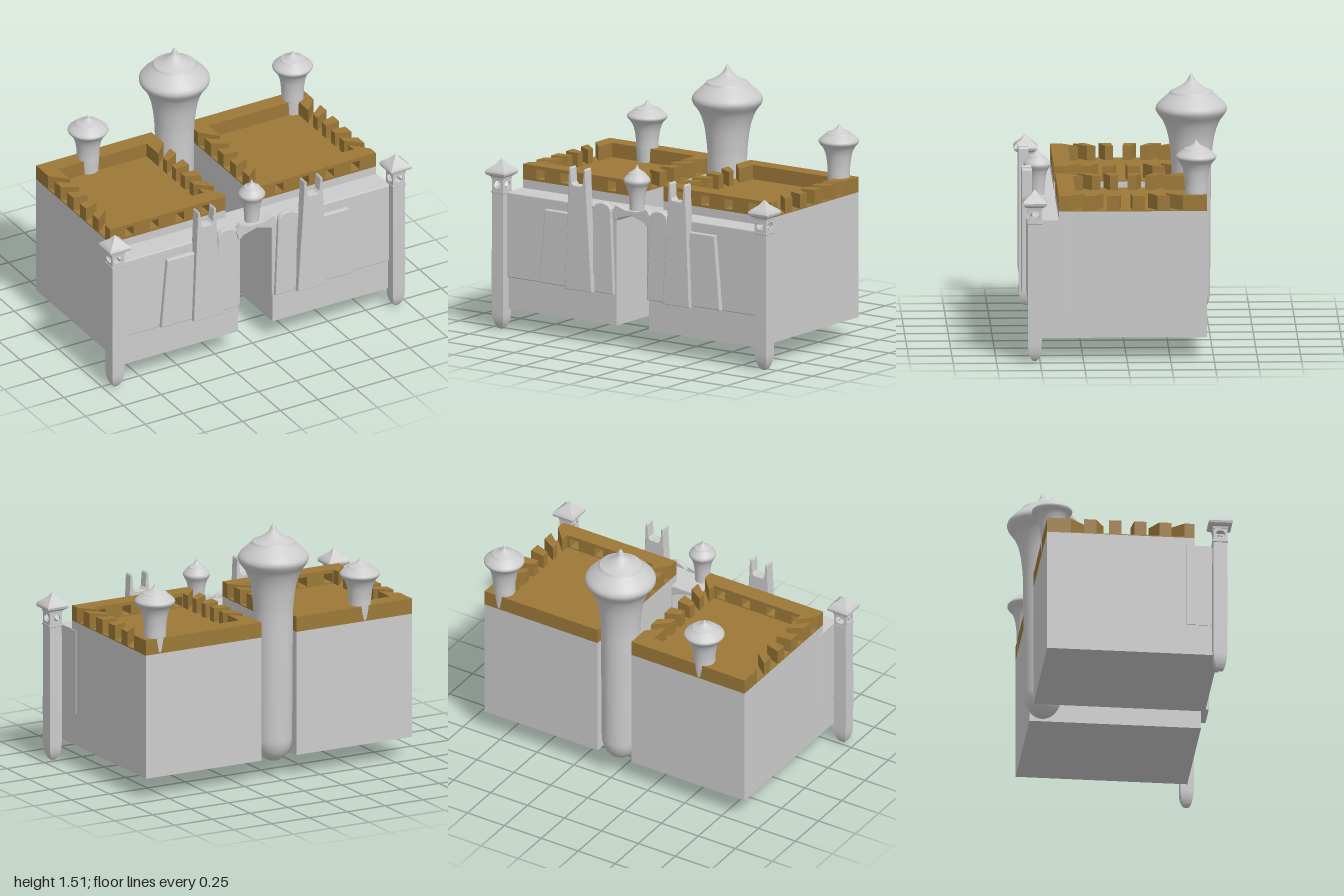
import * as THREE from 'three';
import { toCreasedNormals } from 'three/addons/utils/BufferGeometryUtils.js';

const stone = new THREE.MeshStandardMaterial({ color: 0xcccccc });
const brown = new THREE.MeshStandardMaterial({ color: 0x9c7838 });

function add(parent, name, geometry, material = stone) {
  const mesh = new THREE.Mesh(geometry, material);
  mesh.name = name;
  parent.add(mesh);
  return mesh;
}

const vec = (pts) => pts.map(([x, y]) => new THREE.Vector2(x, y));
const outline = (pts) => new THREE.Shape(vec(pts));

// Box given by its min and max along each axis
function box(x0, x1, y0, y1, z0, z1) {
  return new THREE.BoxGeometry(x1 - x0, y1 - y0, z1 - z0)
    .translate((x0 + x1) / 2, (y0 + y1) / 2, (z0 + z1) / 2);
}

// Upright plate: shape in x/y, from z0 to z1, with a small bevel
function plate(shape, z0, z1, bevel = 0) {
  return new THREE.ExtrudeGeometry(shape, {
    depth: z1 - z0 - bevel, bevelEnabled: bevel > 0, bevelSize: bevel, bevelOffset: -bevel,
    bevelThickness: bevel, bevelSegments: 2, curveSegments: 16,
  }).translate(0, 0, z0);
}

// Flat polygon in x/z raised from y0 to y1
function slab(pts, y0, y1) {
  const shape = outline(pts.map(([x, z]) => [x, -z]));
  return new THREE.ExtrudeGeometry(shape, { depth: y1 - y0, bevelEnabled: false })
    .rotateX(-Math.PI / 2).translate(0, y0, 0);
}

// Onion dome on a flared neck; widest radius r at height mid, tip at height tip
function onionProfile(r, mid, tip) {
  const lower = [[0.55, -2], [0.56, -1.5], [0.61, -1], [0.68, -0.65], [0.8, -0.34], [0.95, -0.13],
    [1, 0], [0.95, 0.13], [0.78, 0.3], [0.61, 0.45]];
  const upper = [[0.6, 0.49], [0.48, 0.54], [0.3, 0.64], [0.13, 0.78], [0.06, 0.92], [0, 1]];
  const scaled = (pts) => vec(pts.map(([x, y]) => [x * r, mid + y * (tip - mid)]));
  return [...new THREE.SplineCurve(scaled(lower)).getPoints(36),
    ...new THREE.SplineCurve(scaled(upper)).getPoints(18)]
    .map((p) => new THREE.Vector2(Math.max(p.x, 0), p.y));
}

function turret(parent, name, x, z, r, mid, tip, base) {
  const geometry = new THREE.LatheGeometry([...vec(base), ...onionProfile(r, mid, tip)], 40);
  add(parent, name, geometry).position.set(x, 0, z);
}

// Rounded foot profile from the axis at y0 out to radius r
function footProfile(r, y0, height) {
  return Array.from({ length: 13 }, (_, i) => {
    const a = (i / 12) * Math.PI / 2;
    return [r * Math.sin(a), y0 + height * (1 - Math.cos(a))];
  });
}

// Four-sided lathe: profile holds half-widths and heights
function squareLathe(profile) {
  const pts = vec(profile.map(([h, y]) => [h * Math.SQRT2, y]));
  return toCreasedNormals(new THREE.LatheGeometry(pts, 4).rotateY(Math.PI / 4), 0.6);
}

// Building block with roof parapet, drawn at the -x place and shifted by dx
function createBlock(dx) {
  const g = new THREE.Group();
  g.name = 'buildingBlock';
  const x0 = -0.88, x1 = -0.115, t = 0.09;
  add(g, 'blockBody', box(x0, x1, 0.125, 0.86, -0.46, 0.39));
  add(g, 'blockFront', box(x0, x1, 0.125, 0.78, 0.39, 0.53));
  add(g, 'roofFloor', box(x0, x1, 0.86, 0.866, -0.46, 0.39), brown);
  add(g, 'backParapet', box(x0 + t, x1 - t, 0.86, 0.95, -0.46, -0.36), brown);

  // Front parapet with four square windows
  const wall = outline([[x0 + t, 0.86], [x1 - t, 0.86], [x1 - t, 0.95], [x0 + t, 0.95]]);
  for (let i = 0; i < 4; i++) {
    const l = -0.783 + i * 0.168, r = l + 0.056;
    wall.holes.push(new THREE.Path(vec([[l, 0.873], [l, 0.93], [r, 0.93], [r, 0.873]])));
  }
  add(g, 'frontParapet', plate(wall, 0.29, 0.39), brown);

  // Side merlons, separated by slots that narrow toward the roof centre
  const outer = [-0.46], inner = [-0.46];
  for (let i = 0; i < 5; i++) {
    const c = -0.285 + i * 0.145;
    outer.push(c - 0.037, c + 0.037);
    inner.push(c * 0.7 - 0.027, c * 0.7 + 0.027);
  }
  outer.push(0.39);
  inner.push(0.39);
  for (const [xo, xi] of [[x0, x0 + t], [x1, x1 - t]]) {
    for (let i = 0; i < outer.length; i += 2) {
      add(g, 'merlon', slab([[xo, outer[i]], [xo, outer[i + 1]], [xi, inner[i + 1]], [xi, inner[i]]],
        0.86, 0.95), brown);
    }
  }
  g.position.x = dx;
  return g;
}

// Corner pillar: square shaft with rounded foot, open lantern and pointed roof
function createPillar(x) {
  const g = new THREE.Group();
  g.name = 'cornerPillar';
  add(g, 'shaft', squareLathe([...footProfile(0.039, 0, 0.1), [0.041, 0.3], [0.039, 0.8], [0.043, 0.803],
    [0.043, 0.815], [0, 0.815]]));
  for (let i = 0; i < 4; i++) {
    const side = outline([[-0.04, 0.81], [0.04, 0.81], [0.04, 0.9], [-0.04, 0.9]]);
    side.holes.push(new THREE.Path().absellipse(0, 0.852, 0.028, 0.022, 0, Math.PI * 2, true));
    add(g, 'lanternSide', plate(side, 0.03, 0.04)).rotation.y = i * Math.PI / 2;
  }
  add(g, 'lanternRoof', squareLathe([[0, 0.885], [0.043, 0.885], [0.045, 0.898], [0.066, 0.912], [0.069, 0.925],
    [0.064, 0.937], [0.042, 0.955], [0.022, 0.972], [0.01, 0.988], [0, 1]]));
  g.position.set(x, 0, 0.53);
  return g;
}

// Relief plates on one half of the facade
function createRelief(s) {
  const g = new THREE.Group();
  g.name = 'facadeRelief';
  const side = (pts) => outline(pts.map(([x, y]) => [x * s, y]));
  add(g, 'outerPanel', plate(side([[0.43, 0.315], [0.64, 0.315], [0.6, 0.75], [0.42, 0.75]]), 0.53, 0.565, 0.006));
  // Tall pylon with two horns
  add(g, 'hornedPylon', plate(side([[0.25, 0.31], [0.44, 0.31], [0.418, 0.88], [0.415, 0.94], [0.412, 1.02],
    [0.405, 1.03], [0.398, 1.02], [0.392, 0.94], [0.38, 0.925], [0.325, 0.925], [0.313, 0.94], [0.307, 1.02],
    [0.3, 1.03], [0.293, 1.02], [0.29, 0.94], [0.287, 0.88]]), 0.535, 0.59, 0.004));
  // Inner pylon with a rounded head
  const head = [];
  for (let i = 0; i <= 10; i++) {
    const a = (i / 10) * Math.PI;
    head.push([0.2 + 0.062 * Math.cos(a), 0.795 + 0.045 * Math.sin(a)]);
  }
  add(g, 'innerPylon', plate(side([[0.118, 0.31], [0.258, 0.31], ...head]), 0.53, 0.56, 0.005));
  return g;
}

export function createModel() {
  const model = new THREE.Group();
  model.name = 'palace';

  model.add(createBlock(0), createBlock(0.995));
  for (const s of [-1, 1]) model.add(createPillar(0.93 * s), createRelief(s));

  // Facade wall with pointed gateway
  const arch = [[-0.105, 0.745], [-0.09, 0.762], [0, 0.787], [0.09, 0.762], [0.105, 0.745]];
  add(model, 'gateWall', plate(outline([[-0.885, 0.31], [-0.105, 0.31], ...arch, [0.105, 0.31], [0.885, 0.31],
    [0.885, 0.81], [-0.885, 0.81]]), 0.345, 0.54, 0.006));
  add(model, 'gateLintel', plate(outline([[-0.12, 0.745], ...arch, [0.12, 0.745], [0.135, 0.8], [0.11, 0.838],
    [0.04, 0.815], [-0.04, 0.815], [-0.11, 0.838], [-0.135, 0.8]]), 0.52, 0.55, 0.003));

  // Great rear tower with rounded foot
  turret(model, 'greatTower', 0, -0.395, 0.205, 1.305, 1.51, [...footProfile(0.108, 0.095, 0.14), [0.11, 0.5]]);

  // Small towers on the roofs and over the gate
  turret(model, 'leftRoofTower', 0.785, -0.4, 0.117, 1.16, 1.26, [[0.06, 0.86]]);
  turret(model, 'rightRoofTower', -0.57, -0.4, 0.117, 1.13, 1.225, [[0.06, 0.86]]);
  turret(model, 'gateTower', 0, 0.49, 0.078, 0.985, 1.08, [[0.036, 0.78]]);
  return model;
}
